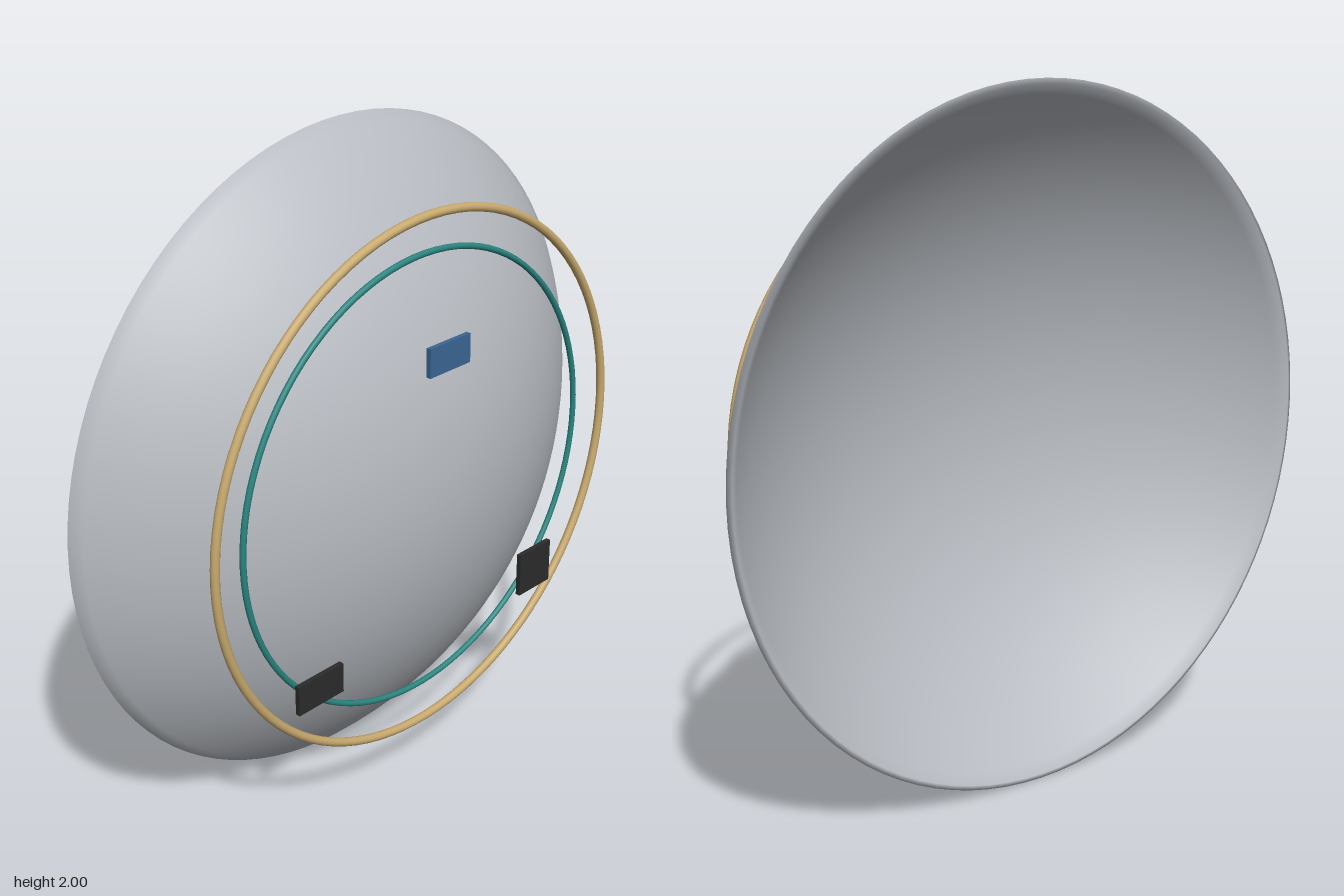
import * as THREE from 'three';

const mat = (name, color) => new THREE.MeshStandardMaterial({ name, color });

export function createModel() {
  const model = new THREE.Group();
  const shellGrey = mat('shell grey', 0xb8bcc2);
  const brass = mat('brass', 0xc8aa6e);
  const teal = mat('teal', 0x2a8580);
  const blue = mat('blue', 0x3a6694);
  const black = mat('black', 0x2b2b2b);

  const add = (name, geometry, material, x, y, z) => {
    const mesh = new THREE.Mesh(geometry, material);
    mesh.name = name;
    mesh.position.set(x, y, z);
    model.add(mesh);
    return mesh;
  };

  // Dish: thin spherical cap, inner face out to the rim, then outer face back to the apex
  const arc = (rim, rimZ, apexZ, n) => {
    const sag = apexZ - rimZ;
    const R = (rim * rim + sag * sag) / (2 * sag);
    const end = Math.asin(rim / R);
    return Array.from({ length: n + 1 }, (_, i) => {
      const a = (end * i) / n;
      return new THREE.Vector2(R * Math.sin(a), apexZ - R * (1 - Math.cos(a)));
    });
  };
  const inner = arc(0.985, -0.22, 0.205, 28);
  const outer = arc(1, -0.215, 0.22, 28).reverse();
  const dish = new THREE.LatheGeometry([...inner, ...outer], 96);
  dish.rotateX(Math.PI / 2);
  add('dish', dish, shellGrey, 0, 1, 0);

  // Rings around the convex front
  add('outerRing', new THREE.TorusGeometry(0.794, 0.013, 12, 96), brass, 0, 1.003, 0.12);
  add('innerRing', new THREE.TorusGeometry(0.682, 0.009, 10, 96), teal, 0, 1.003, 0.1);

  // Small plates on the front: name, material, centre, width, height
  const plates = [
    ['topPlate', blue, 0, 1.418, 0.191, 0.16, 0.085],
    ['rightPlate', black, -0.464, 0.544, 0.145, 0.17, 0.093],
    ['leftPlate', black, 0.461, 0.544, 0.145, 0.142, 0.142],
  ];
  for (const [name, material, x, y, z, w, h] of plates) {
    add(name, new THREE.BoxGeometry(w, h, 0.015), material, x, y, z);
  }
  return model;
}
